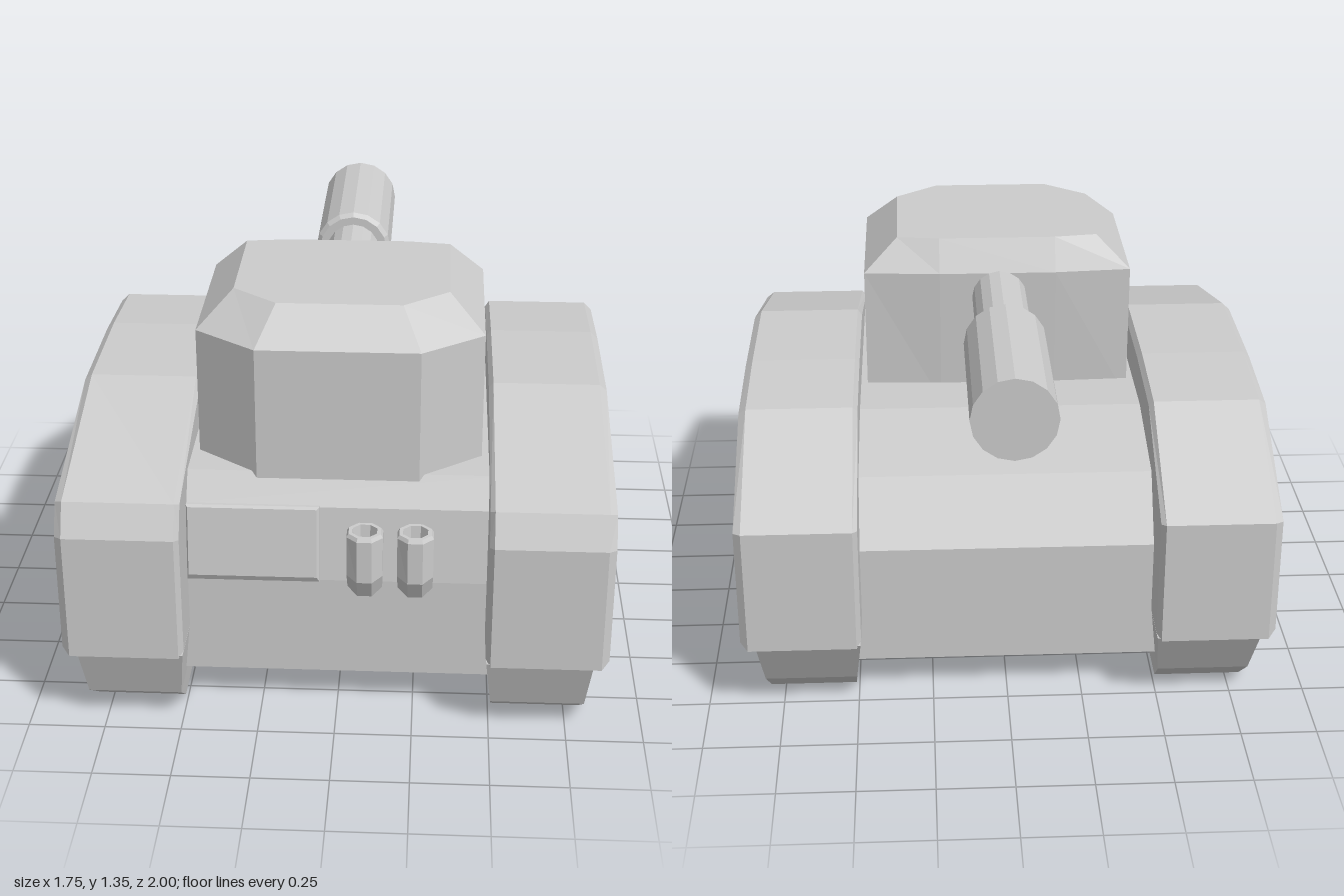
import * as THREE from 'three';

const material = new THREE.MeshStandardMaterial({ color: 0xcccccc, flatShading: true });

function addMesh(parent, name, geometry) {
  const mesh = new THREE.Mesh(geometry, material);
  mesh.name = name;
  parent.add(mesh);
  return mesh;
}

// Closed solid skinned over convex rings of [x, y, z] points, turned to face outwards
function loft(rings) {
  const tris = [];
  const n = rings[0].length;
  for (let r = 0; r < rings.length - 1; r++) {
    for (let i = 0; i < n; i++) {
      const j = (i + 1) % n;
      const [a, b, c, d] = [rings[r][i], rings[r][j], rings[r + 1][j], rings[r + 1][i]];
      tris.push([a, b, c], [a, c, d]);
    }
  }
  const first = rings[0], last = rings[rings.length - 1];
  for (let i = 1; i < n - 1; i++) {
    tris.push([first[0], first[i + 1], first[i]], [last[0], last[i], last[i + 1]]);
  }
  let volume = 0;
  const vec = (p) => new THREE.Vector3(...p);
  for (const [a, b, c] of tris) volume += vec(a).dot(vec(b).cross(vec(c)));
  if (volume < 0) tris.forEach((t) => t.reverse());
  const geometry = new THREE.BufferGeometry();
  geometry.setAttribute('position', new THREE.Float32BufferAttribute(tris.flat(2), 3));
  geometry.computeVertexNormals();
  return geometry;
}

// Profile of [z, y] points placed at x, shrunk towards its middle by an inset
function section(profile, x, inset = 0, midZ = 0.07, midY = 0.62) {
  const sz = 1 - inset / 0.93, sy = 1 - inset / 0.35;
  return profile.map(([z, y]) => [x, midY + (y - midY) * sy, midZ + (z - midZ) * sz]);
}

function buildSide(parent, s) {
  const side = new THREE.Group();
  side.name = s > 0 ? 'leftTrackUnit' : 'rightTrackUnit';
  // Armoured cover with bevelled rims
  const cover = [[1, 0.27], [1, 0.7], [0.95, 0.805], [0.35, 0.968], [-0.1, 0.968],
    [-0.44, 0.942], [-0.855, 0.7], [-0.855, 0.27]];
  addMesh(side, 'trackCover', loft([
    section(cover, s * 0.483, 0.02), section(cover, s * 0.498),
    section(cover, s * 0.85), section(cover, s * 0.875, 0.023),
  ]));
  // Lower track, narrowing towards the ground
  const levels = [[0, 0.51, 0.8, -0.64, 0.8], [0.095, 0.504, 0.808, -0.75, 0.93],
    [0.28, 0.485, 0.825, -0.853, 0.998]];
  addMesh(side, 'track', loft(levels.map(([y, x0, x1, z0, z1]) => [
    [s * x0, y, z0], [s * x1, y, z0], [s * x1, y, z1], [s * x0, y, z1],
  ])));
  parent.add(side);
}

function buildTurret(parent) {
  const turret = new THREE.Group();
  turret.name = 'turret';
  const ring = (y, w, wf, back, mid, side, front) => [
    [-w, y, back], [-0.2, y, mid], [0.2, y, mid], [w, y, back],
    [w, y, side], [wf, y, front], [-wf, y, front], [-w, y, side],
  ];
  addMesh(turret, 'turretBody', loft([
    ring(0.75, 0.46, 0.26, 0.025, 0.015, 0.59, 0.742),
    ring(1.24, 0.46, 0.26, 0.01, -0.01, 0.59, 0.742),
    ring(1.35, 0.345, 0.2, 0.065, 0.045, 0.5, 0.62),
  ]));
  // Gun: thin barrel and thick muzzle with a chamfered rear rim
  const gun = new THREE.LatheGeometry([
    [0, -0.1], [0.094, -0.1], [0.094, 0.4], [0.122, 0.4], [0.136, 0.415], [0.136, 1], [0, 1],
  ].map(([r, l]) => new THREE.Vector2(r, l)), 16);
  gun.rotateX(-Math.PI / 2);
  addMesh(turret, 'gun', gun).position.set(-0.006, 1.153, 0);
  parent.add(turret);
}

// Six-to-eight-sided elbow pipe, rising from the hull front to a recessed mouth
function buildExhaust(parent, x, name) {
  const ring = (y, z, r, tilt = 0) => Array.from({ length: 8 }, (_, i) => {
    const a = (i + 0.5) * Math.PI / 4;
    const d = Math.sin(a) * r;
    return [x + Math.cos(a) * r, y - d * Math.sin(tilt), z + d * Math.cos(tilt)];
  });
  addMesh(parent, name, loft([
    ring(0.48, 0.78, 0.058, 1.1), ring(0.5, 0.86, 0.06, 0.75), ring(0.55, 0.885, 0.062, 0.3),
    ring(0.68, 0.885, 0.062), ring(0.692, 0.885, 0.055),
    ring(0.692, 0.885, 0.042), ring(0.65, 0.885, 0.038),
  ]));
}

export function createModel() {
  const model = new THREE.Group();
  model.name = 'tank';

  // Hull between the tracks
  const hull = [[0.82, 0.125], [0.82, 0.47], [0.79, 0.72], [0.73, 0.815], [-0.2, 0.822],
    [-0.56, 0.745], [-0.69, 0.54], [-0.69, 0.125]];
  addMesh(model, 'hull', loft([section(hull, -0.52), section(hull, 0.52)]));

  // Plate on the sloping front, with a narrow bevel around its face
  const plate = (x0, x1, y0, y1, dz) => [[x0, y0], [x1, y0], [x1, y1], [x0, y1]]
    .map(([x, y]) => [x, y, 0.82 - (y - 0.47) * 0.12 + dz]);
  addMesh(model, 'frontPlate', loft([
    plate(-0.485, -0.055, 0.468, 0.725, -0.03),
    plate(-0.485, -0.055, 0.468, 0.725, 0.008),
    plate(-0.478, -0.064, 0.488, 0.72, 0.02),
  ]));

  buildExhaust(model, 0.093, 'innerExhaust');
  buildExhaust(model, 0.253, 'outerExhaust');
  buildTurret(model);
  for (const s of [-1, 1]) buildSide(model, s);
  return model;
}
